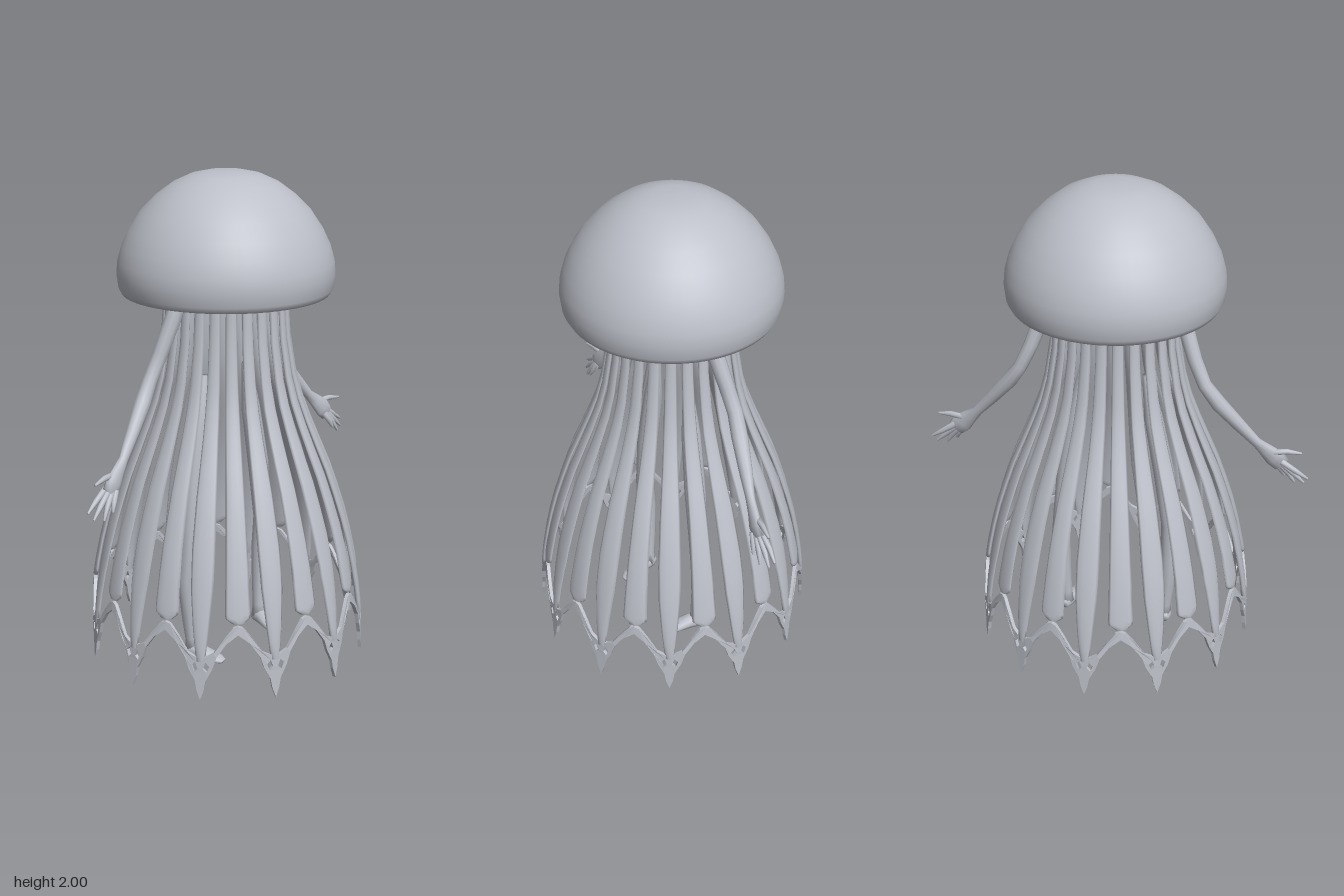
import * as THREE from 'three';

const grey = new THREE.MeshStandardMaterial({ color: 0xbcbfc8 });
grey.name = 'pale grey';

// Piecewise linear lookup in a list of [y, value] pairs, y falling
function lookup(table, y) {
  for (let i = 1; i < table.length; i++) {
    const [y0, a] = table[i - 1], [y1, b] = table[i];
    if (y >= y1) return a + (b - a) * Math.min(1, Math.max(0, (y0 - y) / (y0 - y1)));
  }
  return table[table.length - 1][1];
}

// Closed skin over rings of equal point counts
function loft(rings) {
  const n = rings[0].length, pos = [], index = [];
  rings.forEach(r => r.forEach(p => pos.push(p.x, p.y, p.z)));
  for (let i = 0; i < rings.length - 1; i++) {
    for (let j = 0; j < n; j++) {
      const a = i * n + j, b = i * n + (j + 1) % n;
      index.push(a, b, a + n, b, b + n, a + n);
    }
  }
  const last = (rings.length - 1) * n;
  for (let j = 1; j < n - 1; j++) {
    index.push(0, j + 1, j, last, last + j, last + j + 1);
  }
  const g = new THREE.BufferGeometry();
  g.setAttribute('position', new THREE.Float32BufferAttribute(pos, 3));
  g.setIndex(index);
  g.computeVertexNormals();
  return g;
}

// Limb along stations [x, y, z, half width, half depth]; side mirrors x
function limb(stations, side, depthAxis = new THREE.Vector3(0, 0, 1), n = 10) {
  const pts = stations.map(s => new THREE.Vector3(s[0] * side, s[1], s[2]));
  return loft(pts.map((p, i) => {
    const d = pts[Math.min(i + 1, pts.length - 1)].clone().sub(pts[Math.max(i - 1, 0)]).normalize();
    const u = depthAxis.clone().cross(d).normalize();
    const v = d.clone().cross(u);
    return Array.from({ length: n }, (_, j) => {
      const t = j / n * Math.PI * 2;
      return p.clone().addScaledVector(u, Math.cos(t) * stations[i][3])
        .addScaledVector(v, Math.sin(t) * stations[i][4]);
    });
  }));
}

function add(parent, name, geometry) {
  const m = new THREE.Mesh(geometry, grey);
  m.name = name;
  parent.add(m);
  return m;
}

// Outline of the flared skirt
const skirt = [[1.9, 0.235], [1.5, 0.24], [1.35, 0.25], [1.2, 0.274], [1.1, 0.3], [1, 0.337], [0.9, 0.378],
  [0.8, 0.42], [0.7, 0.455], [0.6, 0.487], [0.5, 0.513], [0.4, 0.534], [0.3, 0.551], [0.2, 0.563], [0, 0.573]];
const longWidth = [[1.9, 0.018], [1.4, 0.022], [1.2, 0.025], [1, 0.031], [0.8, 0.04], [0.6, 0.046],
  [0.45, 0.044], [0.3, 0.032], [0.17, 0.018]];
const shortWidth = [[1.9, 0.018], [1.4, 0.022], [1.2, 0.025], [1, 0.031], [0.8, 0.037], [0.6, 0.043],
  [0.36, 0.05], [0.345, 0.048], [0.325, 0.024]];

// Flat, lens-shaped strip following the skirt, facing +z
function ribbon(widths, ys) {
  return loft(ys.map(y => {
    const r = lookup(skirt, y), w = lookup(widths, y);
    return Array.from({ length: 10 }, (_, j) => {
      const t = j / 10 * Math.PI * 2;
      return new THREE.Vector3(Math.cos(t) * w, y, r + Math.sin(t) * 0.011);
    });
  }));
}

// Pointed tip with two eyelets and the two half arches beside it, bent round the skirt
function hemTip() {
  const half = [[0.014, 0.05], [0.021, 0.09], [0.046, 0.14], [0.062, 0.19], [0.1, 0.245], [0.145, 0.28],
    [0.145, 0.314], [0.125, 0.308], [0.09, 0.265], [0.05, 0.205], [0.022, 0.19]];
  const outline = [[0, 0.008], ...half, ...half.slice().reverse().map(([x, y]) => [-x, y])];
  const shape = new THREE.Shape(outline.map(p => new THREE.Vector2(...p)));
  for (const s of [-1, 1]) {
    shape.holes.push(new THREE.Path([[0.01, 0.14], [0.024, 0.125], [0.034, 0.152], [0.02, 0.168]]
      .map(([x, y]) => new THREE.Vector2(x * s, y))));
  }
  const g = new THREE.ExtrudeGeometry(shape, { depth: 0.014, bevelEnabled: false });
  const p = g.attributes.position;
  for (let i = 0; i < p.count; i++) {
    const a = p.getX(i) / 0.145 * Math.PI / 12;
    const r = lookup(skirt, p.getY(i)) + p.getZ(i) - 0.007;
    p.setXYZ(i, Math.sin(a) * r, p.getY(i), Math.cos(a) * r);
  }
  g.computeVertexNormals();
  return g;
}

export function createModel() {
  const model = new THREE.Group();
  model.name = 'jellyfish figure';

  // Hollow bell with a rounded rim
  const bell = [[0.001, 1.62 + 0.29], [0.13, 1.89], [0.25, 1.83], [0.34, 1.72], [0.385, 1.62], [0.388, 1.55],
    [0.4, 1.524], [0.415, 1.522], [0.428, 1.545], [0.435, 1.6], [0.43, 1.65], [0.413, 1.71], [0.382, 1.775],
    [0.335, 1.845], [0.275, 1.905], [0.21, 1.953], [0.14, 1.985], [0.075, 1.999], [0, 2]];
  add(model, 'bell', new THREE.LatheGeometry(bell.map(p => new THREE.Vector2(...p)), 64));

  // Twelve long and twelve short ribbons, with a linked hem
  const upper = [1.86, 1.7, 1.5, 1.35, 1.2, 1.1, 1, 0.9, 0.8, 0.7, 0.6, 0.5, 0.45, 0.4];
  const longGeo = ribbon(longWidth, [...upper, 0.35, 0.3, 0.23, 0.17]);
  const shortGeo = ribbon(shortWidth, [...upper, 0.36, 0.345, 0.325]);
  const tipGeo = hemTip();
  const ribbons = new THREE.Group();
  ribbons.name = 'skirt';
  model.add(ribbons);
  for (let i = 0; i < 12; i++) {
    const a = i * Math.PI / 6;
    add(ribbons, 'longRibbon', longGeo).rotation.y = a;
    add(ribbons, 'hemTip', tipGeo).rotation.y = a;
    add(ribbons, 'shortRibbon', shortGeo).rotation.y = a + Math.PI / 12;
  }

  // Arms, hands, legs and feet, mirrored
  const digits = [
    ['thumb', [0.655, 0.915, -0.01], [0.71, 0.918, 0.0], [0.768, 0.91, 0.01]],
    ['finger', [0.69, 0.875, -0.01], [0.75, 0.835, -0.008], [0.798, 0.803, -0.002]],
    ['finger', [0.685, 0.865, 0], [0.74, 0.815, 0.006], [0.782, 0.775, 0.012]],
    ['finger', [0.675, 0.86, 0.006], [0.715, 0.81, 0.018], [0.742, 0.765, 0.026]],
    ['finger', [0.66, 0.86, 0.012], [0.685, 0.82, 0.024], [0.7, 0.788, 0.032]],
  ];
  for (const side of [1, -1]) {
    const name = side > 0 ? 'left' : 'right';
    add(model, name + 'Arm', limb([
      [0.2, 1.66, -0.01, 0.03, 0.03], [0.25, 1.55, -0.018, 0.034, 0.034], [0.285, 1.45, -0.03, 0.033, 0.034],
      [0.33, 1.32, -0.055, 0.03, 0.031], [0.375, 1.22, -0.07, 0.028, 0.031], [0.43, 1.14, -0.06, 0.032, 0.033],
      [0.51, 1.045, -0.04, 0.027, 0.027], [0.585, 0.958, -0.02, 0.021, 0.018], [0.625, 0.92, -0.01, 0.032, 0.019],
      [0.66, 0.885, 0, 0.043, 0.02], [0.69, 0.855, 0.002, 0.037, 0.016]], side));
    for (const [part, a, b, c] of digits) {
      add(model, name + ' ' + part, limb([[...a, 0.013, 0.013], [...b, 0.012, 0.011], [...c, 0.005, 0.005]], side,
        undefined, 8));
    }
    add(model, name + 'Leg', limb([
      [0.13, 1.2, 0, 0.02, 0.02], [0.16, 1, 0, 0.04, 0.04], [0.205, 0.75, 0.005, 0.045, 0.045],
      [0.235, 0.5, 0.005, 0.038, 0.04], [0.24, 0.36, -0.005, 0.042, 0.042], [0.23, 0.2, -0.005, 0.033, 0.033],
      [0.222, 0.09, 0, 0.026, 0.028], [0.218, 0.03, 0, 0.03, 0.03]], side));
    add(model, name + 'Foot', limb([
      [0.225, 0.028, -0.03, 0.02, 0.02], [0.222, 0.033, -0.01, 0.03, 0.03], [0.213, 0.034, 0.03, 0.033, 0.032],
      [0.2, 0.023, 0.08, 0.038, 0.021], [0.19, 0.014, 0.12, 0.036, 0.012], [0.185, 0.009, 0.142, 0.02, 0.006]],
      side, new THREE.Vector3(0, 1, 0)));
  }
  return model;
}
